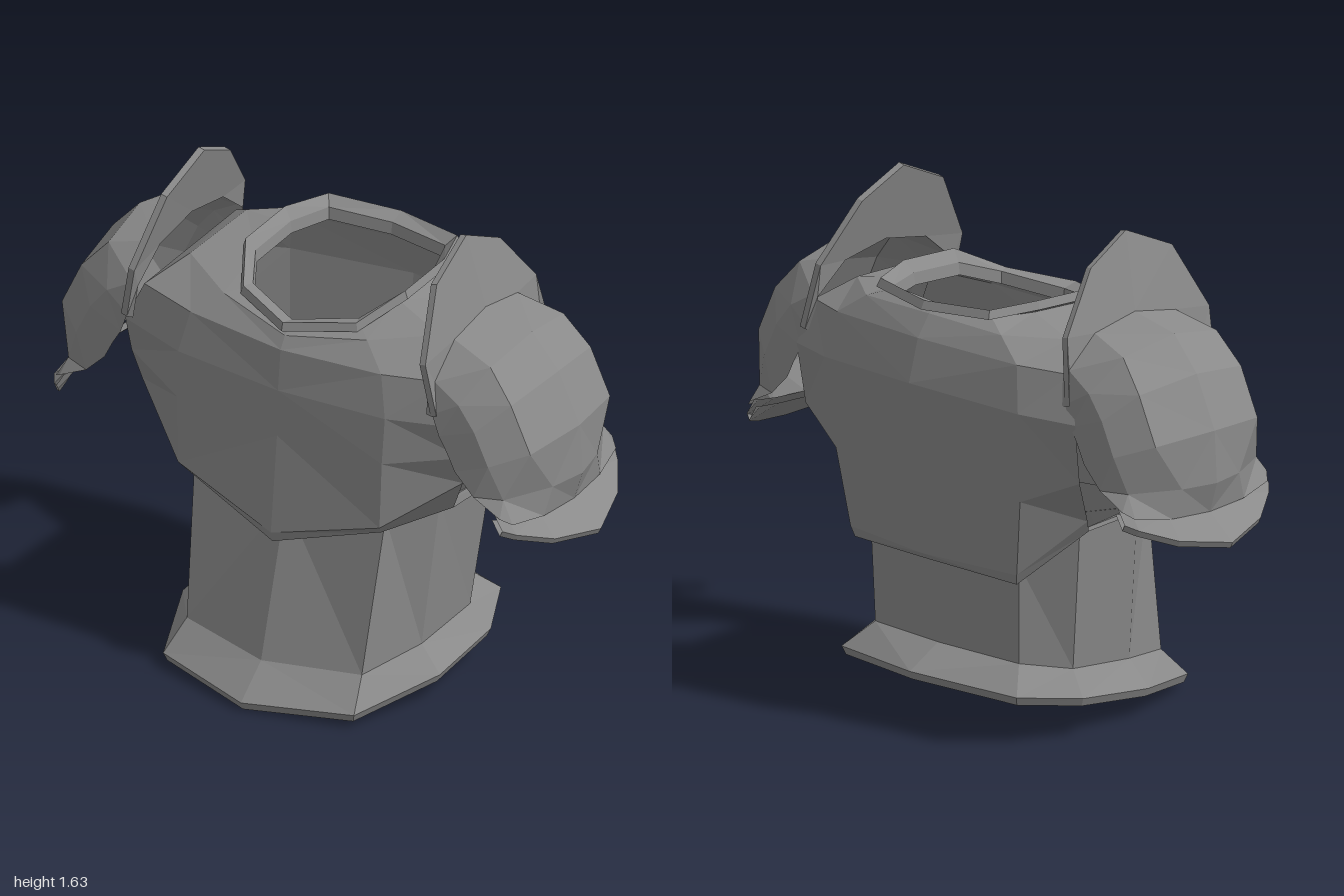
import * as THREE from 'three';

const steel = new THREE.MeshStandardMaterial({ color: 0x8a8a8a, flatShading: true, side: THREE.DoubleSide });
steel.name = 'steel grey';

const span = (p, q) => Math.hypot(p[0] - q[0], p[1] - q[1], p[2] - q[2]);

// Skin a list of cross-section rows with quads, each split along its shorter diagonal
function loft(name, rows, { closed = false, flip = false, skip = () => false } = {}) {
  const pos = [], n = rows[0].length;
  for (let i = 0; i < rows.length - 1; i++) {
    for (let j = 0; j < (closed ? n : n - 1); j++) {
      if (skip(i, j)) continue;
      const k = (j + 1) % n;
      const a = rows[i][j], b = rows[i][k], c = rows[i + 1][k], d = rows[i + 1][j];
      const q = span(a, c) < span(b, d) ? [a, b, c, a, c, d] : [a, b, d, b, c, d];
      if (flip) q.reverse();
      q.forEach(p => pos.push(...p));
    }
  }
  const g = new THREE.BufferGeometry();
  g.setAttribute('position', new THREE.Float32BufferAttribute(pos, 3));
  g.computeVertexNormals();
  const m = new THREE.Mesh(g, steel);
  m.name = name;
  return m;
}

// Half ring (front centre, four side points, back centre) mirrored to a full ring
const ring = half => [...half, ...half.slice(1, 5).reverse().map(([x, y, z]) => [-x, y, z])];
// Scaled and lowered copy of a half ring
const inset = (half, s, dy) => half.map(([x, y, z]) => [x * s, y + dy, z * s]);

function createModel() {
  const model = new THREE.Group();

  // Waist
  const waistLow = [[0, .13, .375], [.33, .145, .30], [.41, .18, .08], [.42, .205, -.18], [.32, .23, -.32], [0, .24, -.36]];
  const waistTop = [[0, .64, .235], [.36, .68, .21], [.465, .70, .06], [.48, .68, -.21], [.33, .56, -.33], [0, .58, -.36]];
  model.add(loft('waist', [waistLow, waistTop].map(ring), { closed: true }));

  // Flared hem below the waist
  const hem = [[0, .03, .49], [.36, .05, .39], [.485, .095, .09], [.485, .125, -.2], [.39, .15, -.40], [0, .17, -.485]];
  model.add(loft('hem', [inset(waistLow, .97, -.01), inset(hem, .975, -.028), hem, waistLow].map(ring), { closed: true }));

  // Chest and back shell, with arm holes left open on both sides
  const chest = [
    [[0, .53, .25], [.35, .64, .21], [.465, .69, .06], [.48, .68, -.21], [.33, .51, -.33], [0, .52, -.36]],
    [[0, .53, .31], [.37, .65, .25], [.53, .71, .08], [.53, .69, -.22], [.36, .51, -.37], [0, .53, -.42]],
    [[0, .565, .32], [.38, .68, .275], [.605, .85, .14], [.545, .73, -.24], [.37, .545, -.38], [0, .55, -.435]],
    [[0, .90, .285], [.385, .91, .27], [.625, .96, .17], [.61, .89, -.34], [.41, .80, -.405], [0, .84, -.46]],
    [[0, 1.06, .28], [.39, 1.07, .26], [.635, 1.08, .19], [.62, 1.09, -.37], [.43, 1.10, -.435], [0, 1.12, -.49]],
    [[0, 1.20, .265], [.36, 1.21, .235], [.57, 1.22, .18], [.57, 1.24, -.34], [.40, 1.25, -.41], [0, 1.26, -.45]],
    [[0, 1.24, .24], [.27, 1.28, .18], [.47, 1.31, .07], [.47, 1.315, -.25], [.30, 1.32, -.38], [0, 1.33, -.40]],
    [[0, 1.27, .20], [.20, 1.30, .12], [.27, 1.34, 0], [.27, 1.35, -.2], [.22, 1.35, -.34], [0, 1.35, -.37]],
  ];
  model.add(loft('chestShell', chest.map(ring), {
    closed: true,
    skip: (i, j) => i >= 1 && i <= 4 && (j === 2 || j === 7),
  }));

  // Neck collar: base, outer lip, inner lip and inner wall
  const lip = [[0, 1.265, .26], [.22, 1.285, .16], [.31, 1.36, .01], [.31, 1.37, -.22], [.25, 1.36, -.385], [0, 1.35, -.435]];
  const neck = chest[7];
  model.add(loft('collar', [neck, lip, inset(lip, .97, .028), inset(neck, 1, .01), inset(neck, .98, -.03)].map(ring), { closed: true }));

  // Shoulder arches: z as a share of the half depth, and how far each point lies from rim to crown
  const domeArch = [[1, 0], [.93, .45], [.56, .86], [0, 1], [-.56, .86], [-.93, .45], [-1, 0]];
  const flangeArch = [[1, 0], [.9, .2], [.56, .66], [0, 1], [-.56, .66], [-.9, .2], [-1, 0]];
  // Stations down the shoulder: rim x, y, crown x, y, taper (below 1 gives a broader crown)
  const domeStations = [
    [.575, 1.15, .565, 1.385, 1], [.60, 1.08, .74, 1.35, .75], [.63, 1.03, .84, 1.24, .6],
    [.66, .97, .92, 1.07, .6], [.73, .90, .93, .90, 1.6], [.83, .85, .90, .80, 1.2],
  ];
  const flangeStations = [[.81, .86, .90, .80, 1.2], [.84, .81, 1, .72, 1], [.83, .79, .99, .70, 1], [.80, .84, .89, .785, 1.2]];
  const shieldEdge = [[.595, 1.15, .275], [.56, 1.33, .285], [.52, 1.55, .16], [.505, 1.635, -.03],
    [.52, 1.55, -.2], [.56, 1.36, -.345], [.60, 1.15, -.375]];

  for (const side of [1, -1]) {
    const station = arch => ([rx, ry, cx, cy, taper]) => arch.map(([u, t]) => [
      side * (rx + (cx - rx) * t),
      ry + (cy - ry) * t,
      -.05 + .32 * Math.sign(u) * Math.abs(u) ** taper,
    ]);
    const domeRows = domeStations.map(station(domeArch));
    const shoulder = new THREE.Group();
    shoulder.name = side > 0 ? 'leftShoulder' : 'rightShoulder';

    // Faceted dome and the flange at its lower end
    shoulder.add(loft('shoulderDome', domeRows, { flip: side > 0 }));
    shoulder.add(loft('shoulderFlange', flangeStations.map(station(flangeArch)), { flip: side > 0 }));

    // Upright neck guard: a thick crescent above the dome
    const inner = domeRows[0];
    const outer = shieldEdge.map(([x, y, z]) => [side * x, y, z]);
    const back = row => row.map(([x, y, z]) => [x - side * .022, y - .005, z]);
    shoulder.add(loft('neckGuard', [inner, outer, back(outer), back(inner), inner], { flip: side < 0 }));
    model.add(shoulder);
  }
  return model;
}

export { createModel };
